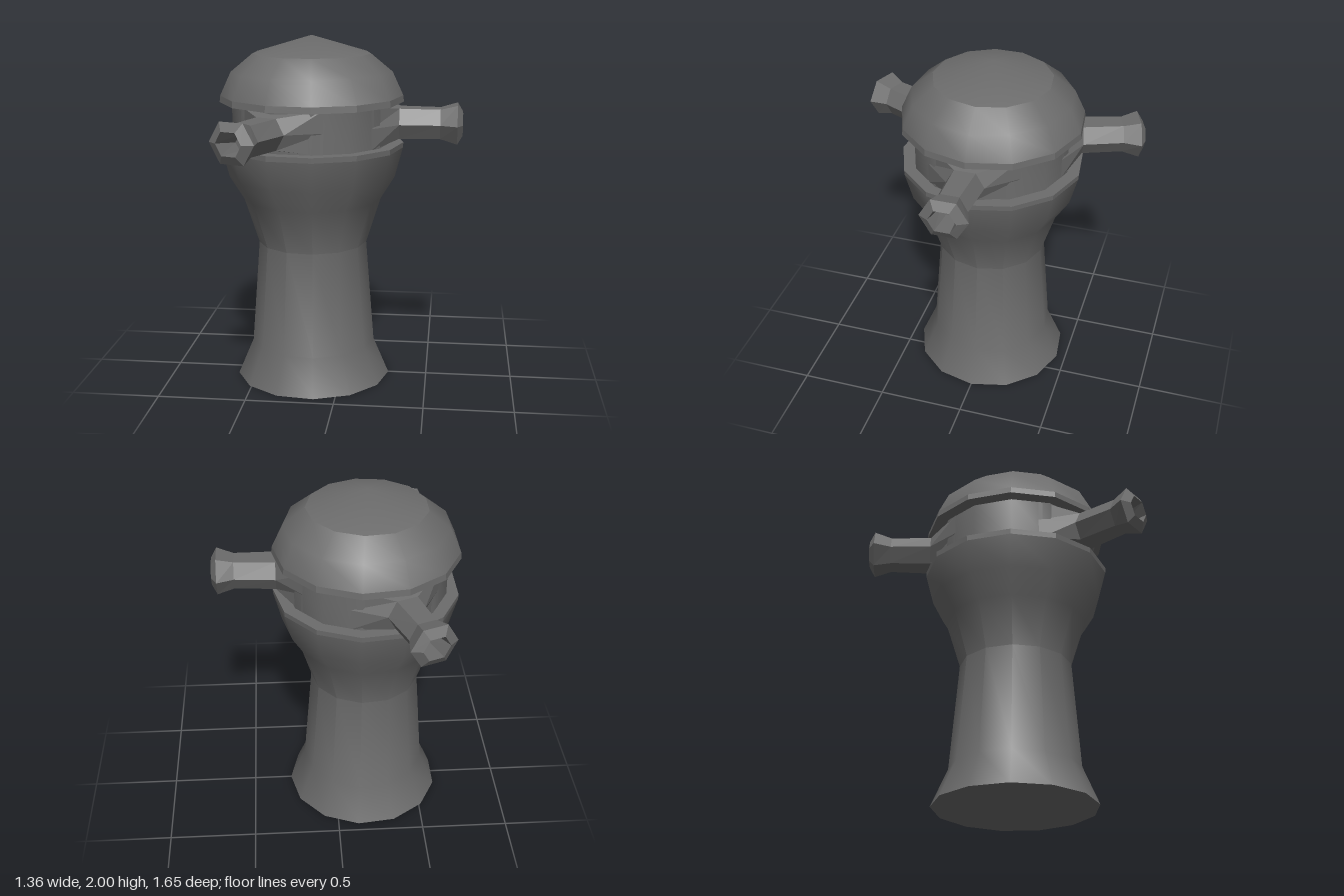
import * as THREE from 'three';
import { toCreasedNormals } from 'three/addons/utils/BufferGeometryUtils.js';

const SIDES = 13;
const AXIS_X = -0.175;
const STEP = (Math.PI * 2) / SIDES;

const smooth = new THREE.MeshStandardMaterial({ color: 0x6c6c6c });
const faceted = new THREE.MeshStandardMaterial({ color: 0x6c6c6c, flatShading: true });

// Turned part with a corner pointing along +x; profile is [radius, y] from bottom to top
function turned(name, profile, material = smooth) {
  const points = profile.map(([r, y]) => new THREE.Vector2(r, y));
  const geometry = new THREE.LatheGeometry(points, SIDES, Math.PI / 2);
  const mesh = new THREE.Mesh(toCreasedNormals(geometry, 0.6), material);
  mesh.name = name;
  return mesh;
}

// Hollow six-sided nozzle along +x, slightly skewed, lofted through hexagonal rings
function nozzleGeometry() {
  // [distance, side half width, corner half width, half height, lift]
  const rings = [
    [0.36, 0.26, 0.26, 0.12, 0], // flare, flush with the neck facets
    [0.502, 0.108, 0.06, 0.085, 0],
    [0.73, 0.097, 0.052, 0.083, 0], // end of the shaft
    [0.825, 0.135, 0.07, 0.109, 0], // outer rim
    [0.855, 0.078, 0.042, 0.062, 0], // mouth
    [0.7, 0.06, 0.032, 0.042, -0.018], // bottom of the bore
  ].map(([x, w, c, h, lift]) => [
    [0, w], [h, c], [h, -c], [0, -w], [-h, -c], [-h, c],
  ].map(([y, z]) => [x, y + lift, z + 0.036 * (x - 0.36)]));
  const positions = [];
  for (let i = 0; i < rings.length - 1; i++) {
    for (let j = 0; j < 6; j++) {
      const k = (j + 1) % 6;
      const a = rings[i][j], b = rings[i][k], c = rings[i + 1][k], d = rings[i + 1][j];
      positions.push(...a, ...d, ...c, ...a, ...c, ...b);
    }
  }
  // Bore floor, facing outward along +x
  const floor = rings[rings.length - 1];
  for (let j = 1; j < 5; j++) positions.push(...floor[0], ...floor[j + 1], ...floor[j]);
  const geometry = new THREE.BufferGeometry();
  geometry.setAttribute('position', new THREE.Float32BufferAttribute(positions, 3));
  geometry.computeVertexNormals();
  return geometry;
}

export function createModel() {
  const model = new THREE.Group();
  model.name = 'hydrant';

  // Waisted column with a faceted lip
  model.add(turned('column', [
    [0, 0], [0.45, 0], [0.36, 0.21], [0.313, 0.81], [0.395, 1.07],
    [0.475, 1.2], [0.52, 1.37],
  ]));
  model.add(turned('columnLip', [[0.52, 1.37], [0.522, 1.4], [0.4, 1.4]], faceted));

  // Recessed neck
  model.add(turned('neck', [[0.453, 1.39], [0.453, 1.64]]));

  // Domed cap: faceted lip with closed underside, dome and shallow crown
  model.add(turned('capLip', [[0.4, 1.632], [0.522, 1.632], [0.518, 1.668]], faceted));
  model.add(turned('capDome', [[0.518, 1.668], [0.457, 1.8], [0.335, 1.9]]));
  model.add(turned('capCrown', [[0.335, 1.9], [0, 2]]));

  // Three nozzles, four facets apart
  const geometry = nozzleGeometry();
  [['leftNozzle', 0], ['frontNozzle', 4], ['backNozzle', -4]].forEach(([name, facets]) => {
    const nozzle = new THREE.Mesh(geometry, faceted);
    nozzle.name = name;
    nozzle.position.y = 1.516;
    nozzle.rotation.y = -facets * STEP;
    model.add(nozzle);
  });

  model.children.forEach((part) => { part.position.x = AXIS_X; });
  return model;
}
